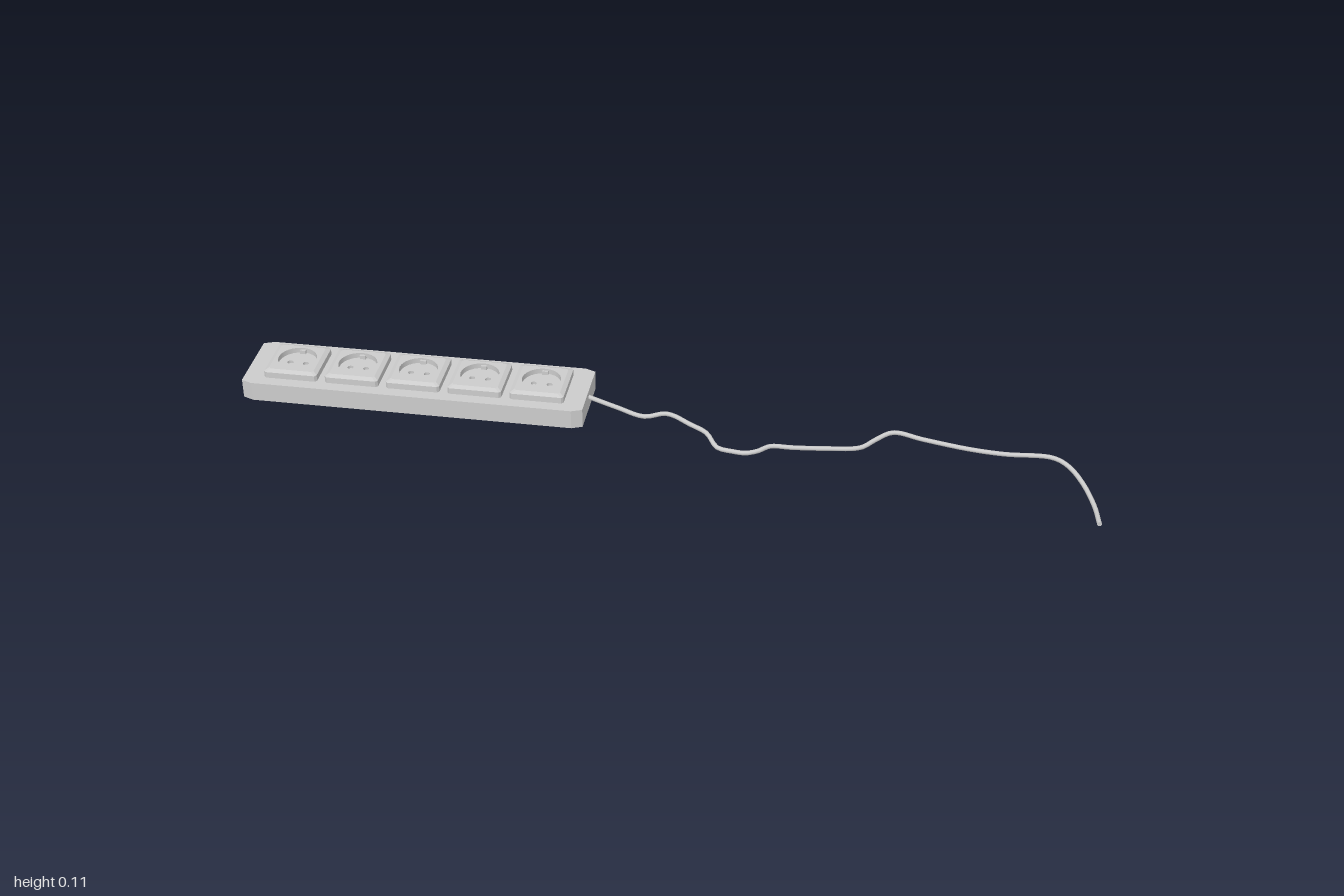
import * as THREE from 'three';

const grey = new THREE.MeshStandardMaterial({ color: 0xcccccc, side: THREE.DoubleSide });
const flat = new THREE.MeshStandardMaterial({ color: 0xcccccc, side: THREE.DoubleSide, flatShading: true });

const MID_Z = -0.068;
const PAD_H = 0.015, BEVEL_H = 0.005, FLOOR = 0.007, HOLE_R = 0.046;
const PAD_TOP = PAD_H + BEVEL_H;

function add(parent, name, geometry, material, x = 0, y = 0, z = 0) {
  const mesh = new THREE.Mesh(geometry, material);
  mesh.name = name;
  mesh.position.set(x, y, z);
  parent.add(mesh);
  return mesh;
}

// Rectangle with cut corners
function cutRect(w, d, cx, cd) {
  const a = w / 2, b = d / 2;
  return [[a - cx, -b], [a, -b + cd], [a, b - cd], [a - cx, b],
    [-a + cx, b], [-a, b - cd], [-a, -b + cd], [-a + cx, -b]].map(([x, y]) => new THREE.Vector2(x, y));
}

function circleHole(shape, x, y, r) {
  shape.holes.push(new THREE.Path().absarc(x, y, r, 0, Math.PI * 2, true));
}

// Flat shape laid horizontally, facing up
const lay = (shape, segments = 12) => new THREE.ShapeGeometry(shape, segments).rotateX(-Math.PI / 2);

// Side walls running through a stack of outlines
function walls(levels) {
  const pos = [], index = [], n = levels[0].points.length;
  for (const { points, y } of levels) for (const p of points) pos.push(p.x, y, -p.y);
  for (let l = 0; l < levels.length - 1; l++) {
    for (let i = 0; i < n; i++) {
      const a = l * n + i, b = l * n + (i + 1) % n;
      index.push(a, b, b + n, a, b + n, a + n);
    }
  }
  const g = new THREE.BufferGeometry();
  g.setAttribute('position', new THREE.Float32BufferAttribute(pos, 3));
  g.setIndex(index);
  g.computeVertexNormals();
  return g;
}

function makeSocket() {
  const socket = new THREE.Group();
  const lower = cutRect(0.128, 0.128, 0.005, 0.005);
  const upper = cutRect(0.108, 0.108, 0.005, 0.005);

  // Raised plate with a bevelled rim
  add(socket, 'socketPlateSides', walls([
    { points: lower, y: 0 }, { points: lower, y: PAD_H }, { points: upper, y: PAD_TOP },
  ]), flat);
  const face = new THREE.Shape(upper);
  circleHole(face, 0, 0, HOLE_R);
  add(socket, 'socketPlateTop', lay(face), grey);
  socket.children[1].position.y = PAD_TOP;

  // Round recess and its floor with two pin holes
  const wellH = PAD_TOP - FLOOR;
  add(socket, 'socketWell', new THREE.CylinderGeometry(HOLE_R, HOLE_R, wellH, 24, 1, true), grey, 0, FLOOR + wellH / 2, 0);
  const floor = new THREE.Shape().absarc(0, 0, HOLE_R, 0, Math.PI * 2, false);
  for (const s of [-1, 1]) circleHole(floor, s * 0.019, 0, 0.007);
  add(socket, 'socketFloor', lay(floor), grey, 0, FLOOR, 0);
  for (const s of [-1, 1]) {
    add(socket, 'pinHole', new THREE.CylinderGeometry(0.007, 0.007, FLOOR, 16, 1, true), grey, s * 0.019, FLOOR / 2, 0);
    // Earth clips on the recess wall
    add(socket, 'earthClip', new THREE.BoxGeometry(0.014, wellH * 0.7, 0.006), flat, 0, FLOOR + wellH * 0.35, s * 0.042);
  }
  return socket;
}

export function createModel() {
  const model = new THREE.Group();
  model.name = 'powerStrip';

  // Long body with cut corners
  const body = new THREE.ExtrudeGeometry(new THREE.Shape(cutRect(0.814, 0.185, 0.025, 0.01)),
    { depth: 0.047, bevelEnabled: false }).rotateX(-Math.PI / 2);
  add(model, 'body', body, flat, -0.593, 0.041, MID_Z);

  // Five sockets in a row
  for (let i = 0; i < 5; i++) {
    const socket = makeSocket();
    socket.name = 'socket' + (i + 1);
    socket.position.set(-0.888 + i * 0.1475, 0.088, MID_Z);
    model.add(socket);
  }

  // Winding cable
  const path = new THREE.CatmullRomCurve3([
    [-0.2, 0.072, -0.07], [-0.187, 0.07, -0.068], [-0.118, 0.053, -0.06], [-0.053, 0.041, -0.05],
    [0, 0.049, -0.058], [0.06, 0.042, -0.032], [0.1, 0.039, -0.008], [0.13, 0.028, 0.03],
    [0.165, 0.028, 0.04], [0.198, 0.03, 0.045], [0.225, 0.032, 0.035], [0.25, 0.034, 0.015],
    [0.3, 0.031, 0.008], [0.375, 0.029, -0.003], [0.455, 0.03, -0.018], [0.487, 0.037, -0.045],
    [0.525, 0.044, -0.07], [0.594, 0.039, -0.06], [0.7, 0.033, -0.046], [0.78, 0.032, -0.04],
    [0.89, 0.039, -0.032], [0.925, 0.033, -0.012], [0.957, 0.02, 0.03], [0.983, 0.008, 0.095],
    [0.994, 0.007, 0.161],
  ].map((p) => new THREE.Vector3(...p)));
  const r = 0.0055;
  add(model, 'cable', new THREE.TubeGeometry(path, 110, r, 8, false), grey);
  const cap = add(model, 'cableEnd', new THREE.CircleGeometry(r, 8), grey);
  cap.position.copy(path.getPoint(1));
  cap.quaternion.setFromUnitVectors(new THREE.Vector3(0, 0, 1), path.getTangent(1));

  return model;
}
